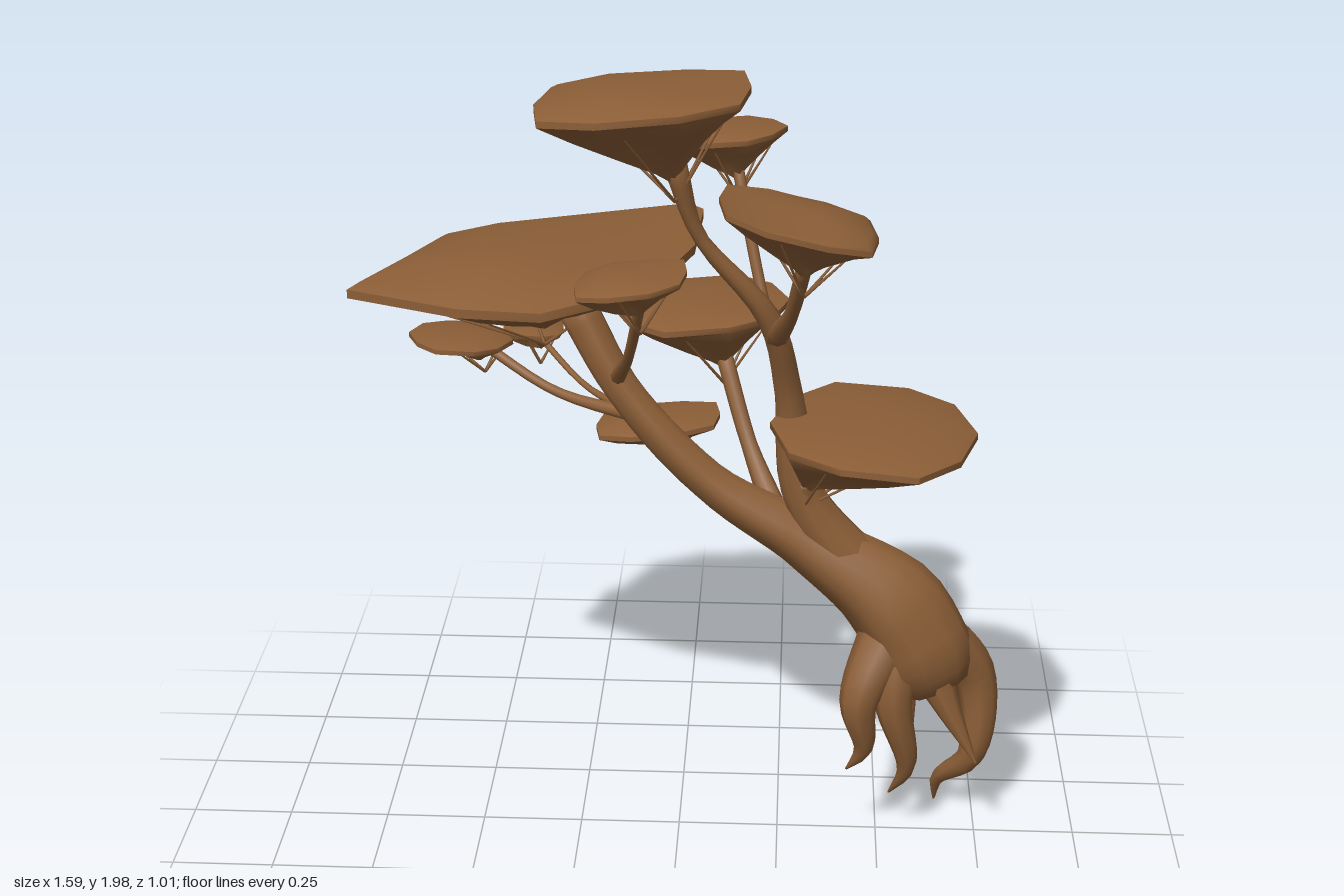
import * as THREE from 'three';
import { toCreasedNormals } from 'three/addons/utils/BufferGeometryUtils.js';

const { lerp } = THREE.MathUtils;
const bark = new THREE.MeshStandardMaterial({ color: 0x8b5e37 });
bark.name = 'bark brown';

// Skin a series of closed rings that have equal point counts
function loft(rings) {
  const n = rings[0].length, index = [];
  for (let i = 0; i < rings.length - 1; i++) {
    for (let j = 0; j < n; j++) {
      const a = i * n + j, b = i * n + (j + 1) % n;
      index.push(a, a + n, b, b, a + n, b + n);
    }
  }
  const g = new THREE.BufferGeometry().setFromPoints(rings.flat());
  g.setIndex(index);
  g.computeVertexNormals();
  return g;
}

function mesh(name, geometry) {
  const m = new THREE.Mesh(geometry, bark);
  m.name = name;
  return m;
}

// Tapering limb along a curve; ridge adds lengthwise grooves
function limb(name, curve, radii, sides = 8, ridge = 0) {
  const spans = radii.length - 1, n = spans * 5;
  const frames = curve.computeFrenetFrames(n);
  const rings = frames.tangents.map((_, i) => {
    const c = curve.getPointAt(i / n);
    const u = curve.getUtoTmapping(i / n) * spans;
    const k = Math.min(Math.floor(u), spans - 1);
    const r = lerp(radii[k], radii[k + 1], u - k);
    return Array.from({ length: sides }, (_, j) => {
      const a = j / sides * Math.PI * 2;
      const q = r * (1 + ridge * Math.sin(a * 4 + i * 0.1));
      return c.clone().addScaledVector(frames.normals[i], q * Math.cos(a))
        .addScaledVector(frames.binormals[i], -q * Math.sin(a));
    });
  });
  // Close both ends
  const cap = (ring, t) => ring.map(() => curve.getPoint(t));
  return mesh(name, loft([cap(rings[0], 0), ...rings, cap(rings[n], 1)]));
}

const path = pts => new THREE.CatmullRomCurve3(pts);
const points = list => list.map(p => new THREE.Vector3(...p));

// Uneven, slightly boxy oval outline
function oval(cx, cz, rx, rz) {
  const n = 10, boxy = v => Math.sign(v) * Math.abs(v) ** 0.85;
  return Array.from({ length: n }, (_, j) => {
    const a = j / n * Math.PI * 2, k = 1 + 0.05 * Math.sin(j * 2.4 + cx * 20);
    return [cx + rx * k * boxy(Math.cos(a)), cz + rz * k * boxy(Math.sin(a))];
  });
}

// Funnel-shaped crown: a grooved cone below a tilted plate with a soft rim
function crown(name, outline, y, tilt, apex) {
  const group = new THREE.Group();
  group.name = name;
  const xs = outline.map(p => p[0]), zs = outline.map(p => p[1]);
  const middle = v => (Math.min(...v) + Math.max(...v)) / 2;
  const cx = middle(xs), size = Math.max(...xs) - cx;
  const rim = points(outline.map(([x, z]) => [x, y + tilt * (x - cx), z]));
  const centre = new THREE.Vector3(cx, y + size * 0.07, middle(zs));
  const thick = 0.01 + size * 0.05;

  const under = (p, s, j) => {
    const q = apex.clone().lerp(p, s);
    q.y = lerp(apex.y, p.y - thick, s ** 0.8) + 0.06 * Math.sin(j * 2.6) * s * (1 - s);
    return q;
  };
  const top = (p, s) => {
    const q = p.clone().lerp(centre, s);
    q.y = lerp(p.y - thick * 0.3, centre.y, Math.sin(s * Math.PI / 2) ** 0.7);
    return q;
  };
  const body = loft([
    ...[0, 0.15, 0.4, 0.75, 1].map(s => rim.map((p, j) => under(p, s, j))),
    ...[0, 0.08, 0.4, 0.7, 1].map(s => rim.map(p => top(p, s))),
  ]);
  group.add(mesh('crownBody', toCreasedNormals(body, 0.85)));

  // Fine twigs reaching from below the funnel to its underside
  rim.forEach((p, j) => {
    if (j % 3) return;
    const start = apex.clone(), end = under(p, 0.65, j);
    start.y -= 0.04;
    const bend = start.clone().lerp(end, 0.55);
    group.add(limb('twig', path([start, bend, end]), [0.004, 0.003, 0.002], 4));
  });
  return group;
}

export function createModel() {
  const model = new THREE.Group();
  model.name = 'windsweptTree';

  // Leaning trunk that runs on into the long right bough
  const trunk = path(points([
    [0.63, 0.43, -0.02], [0.6, 0.51, -0.02], [0.52, 0.65, -0.02], [0.3, 0.81, -0.02],
    [0.08, 0.95, -0.02], [-0.13, 1.17, -0.05], [-0.25, 1.37, -0.1],
  ]));
  model.add(limb('trunk', trunk, [0.09, 0.125, 0.12, 0.07, 0.047, 0.04, 0.045], 16, 0.07));

  // Upright bough that carries the top crown
  const bough = path(points([
    [0.46, 0.7, -0.02], [0.3, 0.93, -0.01], [0.26, 1.2, 0.01],
    [0.21, 1.42, 0.09], [0.05, 1.63, 0.13], [0, 1.8, 0.16],
  ]));
  model.add(limb('uprightBough', bough, [0.08, 0.052, 0.034, 0.027, 0.015, 0.026], 10, 0.05));

  // Hanging roots: each spreads from the trunk base over a knee to a thin tip
  const base = new THREE.Vector3(0.55, 0.64, -0.03);
  [
    [[0.735, 0.42, -0.08], [0.74, 0.2, -0.06], [0.66, 0.09, -0.12], [0.655, 0.01, -0.15]],
    [[0.53, 0.42, 0.07], [0.57, 0.22, 0.05], [0.53, 0.12, 0.01]],
    [[0.445, 0.43, 0.1], [0.46, 0.29, 0.09], [0.42, 0.22, 0.07]],
    [[0.57, 0.43, -0.14], [0.59, 0.15, -0.16]],
    [[0.66, 0.4, 0.04], [0.74, 0.25, 0.08]],
    [[0.47, 0.43, -0.1], [0.48, 0.24, -0.07]],
  ].forEach(list => {
    const pts = points(list);
    pts.unshift(base.clone().lerp(pts[0], 0.3));
    const radii = pts.map((_, k) => 0.003 + 0.072 * (1 - k / (pts.length - 1)) ** 1.15);
    model.add(limb('root', path(pts), radii));
  });

  // Great crown: pointed at one end, blunt at the other
  const greatOutline = [
    [-0.79, -0.05], [-0.69, -0.24], [-0.61, -0.4], [-0.48, -0.46], [0, -0.49], [0.04, -0.43],
    [0.03, -0.15], [-0.06, 0.12], [-0.3, 0.24], [-0.5, 0.16],
  ];
  model.add(crown('greatCrown', greatOutline, 1.475, 0.11, new THREE.Vector3(-0.33, 1.3, -0.13)));
  model.add(crown('topCrown', oval(-0.07, 0.2, 0.25, 0.21), 1.975, 0.1, new THREE.Vector3(0, 1.755, 0.16)));

  // Other crowns: oval, height, tilt, apex, then the limb and place its branch leaves
  [
    ['upperLeftCrown', [0.275, 0.35, 0.18, 0.16], 1.75, -0.25, [0.29, 1.6, 0.34], bough, 0.55],
    ['upperBackCrown', [0.1, -0.2, 0.14, 0.11], 1.785, 0.08, [0.13, 1.66, -0.19], bough, 0.36],
    ['smallFrontCrown', [-0.09, 0.32, 0.13, 0.125], 1.595, 0.15, [-0.07, 1.5, 0.32], trunk, 0.86],
    ['backCrown', [0.04, -0.31, 0.21, 0.2], 1.315, 0.06, [0.1, 1.16, -0.25], trunk, 0.54],
    ['lowerLeftCrown', [0.465, 0.05, 0.24, 0.28], 1.14, -0.04, [0.3, 0.95, 0.02], bough, 0.15],
    ['lowBackCrown', [-0.06, -0.17, 0.16, 0.11], 1.06, 0.12, [-0.03, 0.99, -0.18], trunk, 0.63],
    ['farRightCrown', [-0.56, -0.31, 0.125, 0.11], 1.215, -0.06, [-0.5, 1.16, -0.3], trunk, 0.79],
    ['tinyBackCrown', [-0.39, -0.43, 0.08, 0.08], 1.2, -0.05, [-0.37, 1.15, -0.39], trunk, 0.79],
  ].forEach(([name, shape, y, tilt, tip, parent, t]) => {
    const apex = new THREE.Vector3(...tip), start = parent.getPoint(t);
    const bend = start.clone().lerp(apex, 0.55);
    bend.y -= 0.02;
    const end = apex.clone();
    end.y += 0.03;
    const radii = [0.16, 0.095, 0.1].map(k => k * shape[2]);
    model.add(limb('branch', path([start, bend, end]), radii));
    model.add(crown(name, oval(...shape), y, tilt, apex));
  });
  return model;
}
